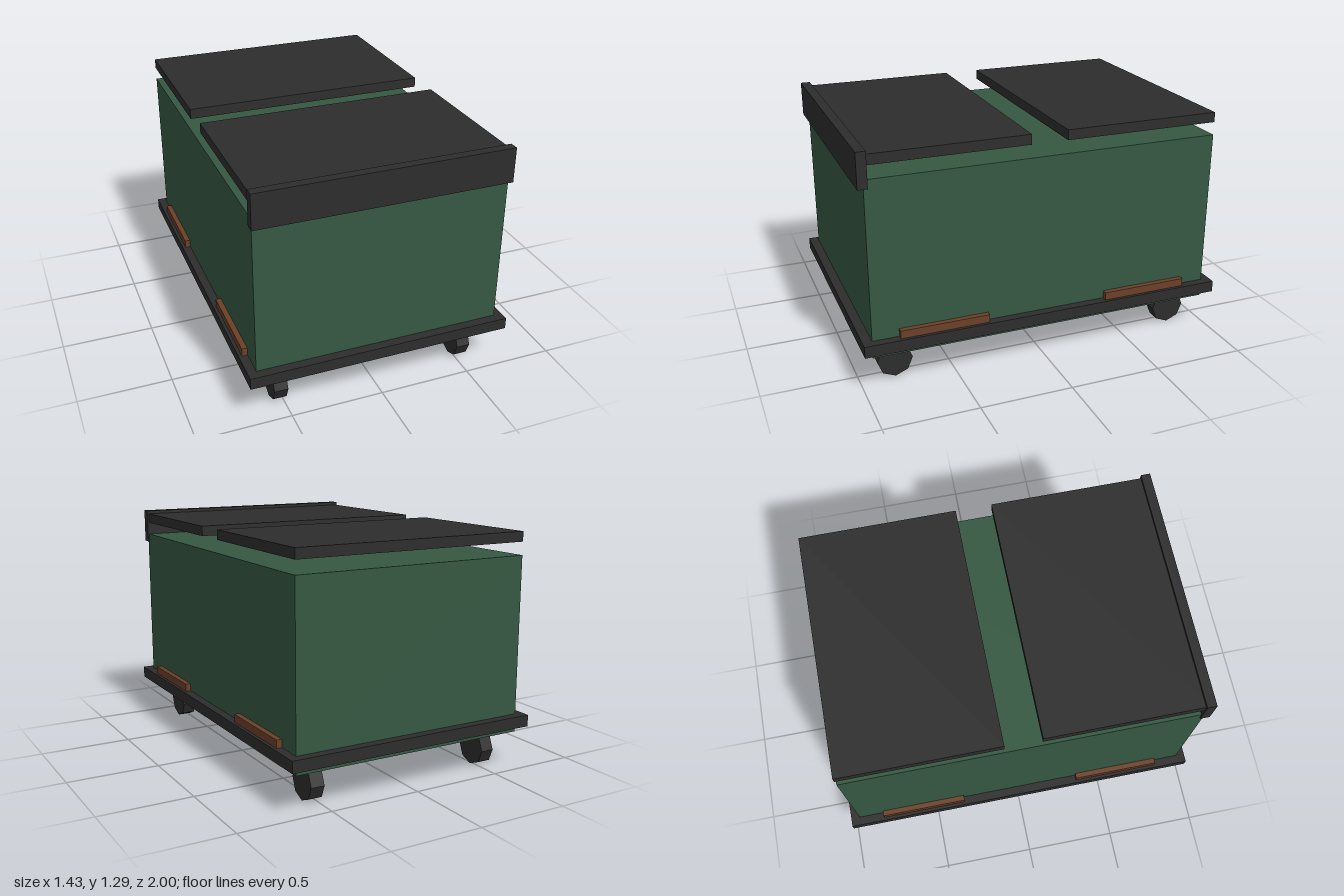
import * as THREE from 'three';

const mat = (name, color) => {
  const m = new THREE.MeshStandardMaterial({ color });
  m.name = name;
  return m;
};

export function createModel() {
  const model = new THREE.Group();
  model.name = 'wheeledCart';
  const green = mat('green paint', 0x355842);
  const dark = mat('charcoal', 0x2d2d2d);
  const brown = mat('brown', 0x6b4028);
  dark.flatShading = true;

  // Box given by its lower and upper corners
  const box = (name, material, [x0, y0, z0], [x1, y1, z1]) => {
    const mesh = new THREE.Mesh(new THREE.BoxGeometry(x1 - x0, y1 - y0, z1 - z0), material);
    mesh.position.set((x0 + x1) / 2, (y0 + y1) / 2, (z0 + z1) / 2);
    mesh.name = name;
    model.add(mesh);
  };

  // Body, bumper rim and front top bar
  box('body', green, [-0.667, 0.193, -0.95], [0.667, 1.145, 0.95]);
  box('bumperRim', dark, [-0.713, 0.228, -1], [0.713, 0.291, 1]);
  box('frontBar', dark, [-0.676, 1.1, 0.93], [0.676, 1.287, 0.981]);

  // Two raised lids with a gap between them
  box('frontLid', dark, [-0.667, 1.215, 0.098], [0.667, 1.269, 0.95]);
  box('backLid', dark, [-0.667, 1.215, -0.95], [0.667, 1.269, -0.098]);

  // Side pads and eight-sided wheels at each corner
  const wheelShape = new THREE.CylinderGeometry(0.095, 0.095, 0.074, 8).rotateZ(Math.PI / 2);
  for (const sx of [-1, 1]) {
    for (const sz of [-1, 1]) {
      const x = sx * 0.679, z = sz * 0.571;
      box('sidePad', brown, [x - 0.017, 0.28, z - 0.238], [x + 0.017, 0.334, z + 0.238]);
      const wheel = new THREE.Mesh(wheelShape, dark);
      wheel.position.set(sx * 0.523, 0.095, sz * 0.81);
      wheel.name = 'wheel';
      model.add(wheel);
    }
  }
  return model;
}
